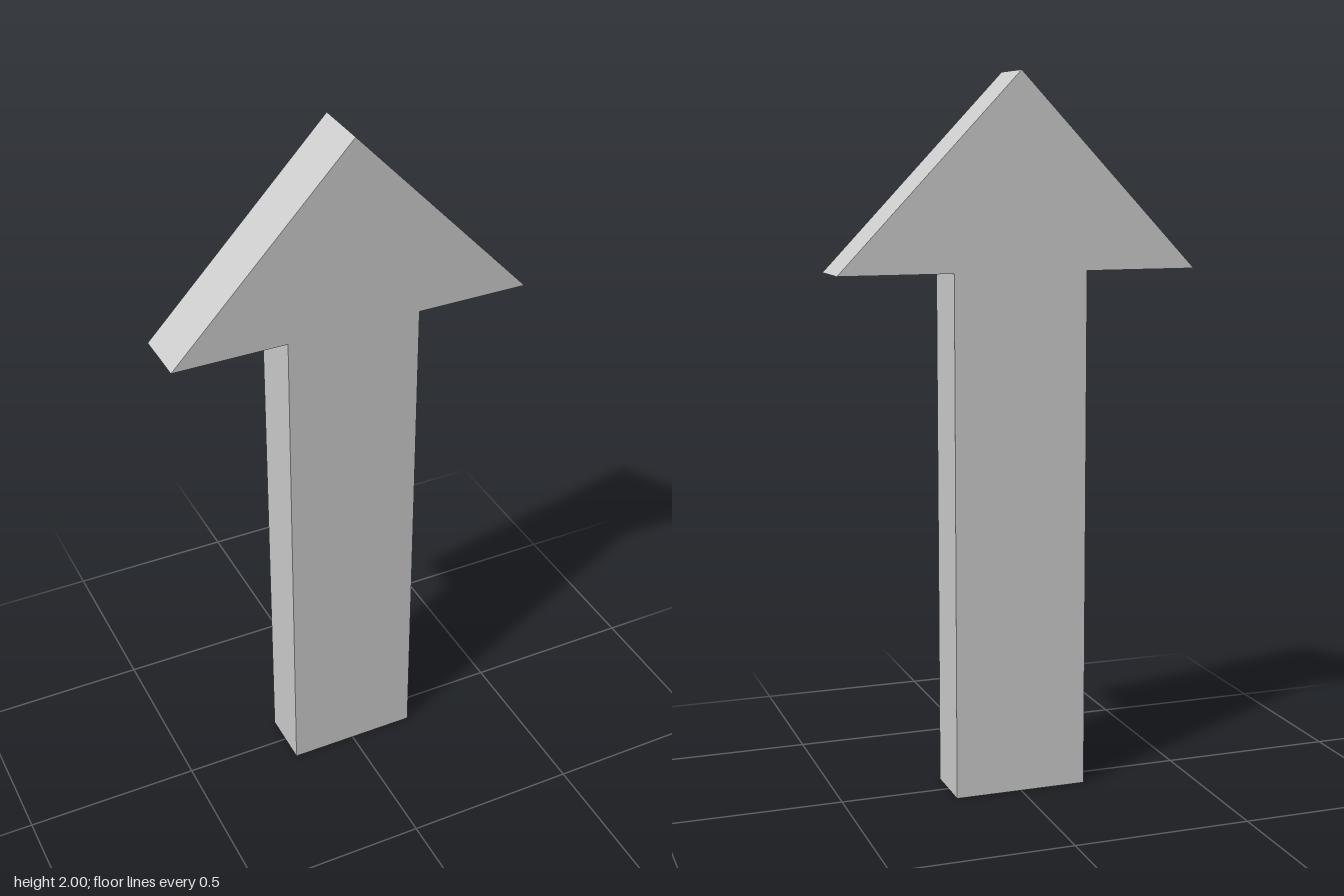
import * as THREE from 'three';

export function createModel() {
  const group = new THREE.Group();
  group.name = 'upArrow';

  const shaftHalf = 0.19, headHalf = 0.51, neckY = 1.465, tipY = 2, depth = 0.163;

  // Arrow outline, counter-clockwise from the bottom right of the shaft
  const outline = new THREE.Shape([
    [shaftHalf, 0], [shaftHalf, neckY], [headHalf, neckY], [0, tipY],
    [-headHalf, neckY], [-shaftHalf, neckY], [-shaftHalf, 0],
  ].map(([x, y]) => new THREE.Vector2(x, y)));

  // Flat slab centred on z = 0
  const geometry = new THREE.ExtrudeGeometry(outline, { depth, bevelEnabled: false });
  geometry.translate(0, 0, -depth / 2);

  const arrow = new THREE.Mesh(
    geometry,
    new THREE.MeshStandardMaterial({ color: 0xcccccc, flatShading: true }),
  );
  arrow.name = 'arrow';
  group.add(arrow);
  return group;
}
